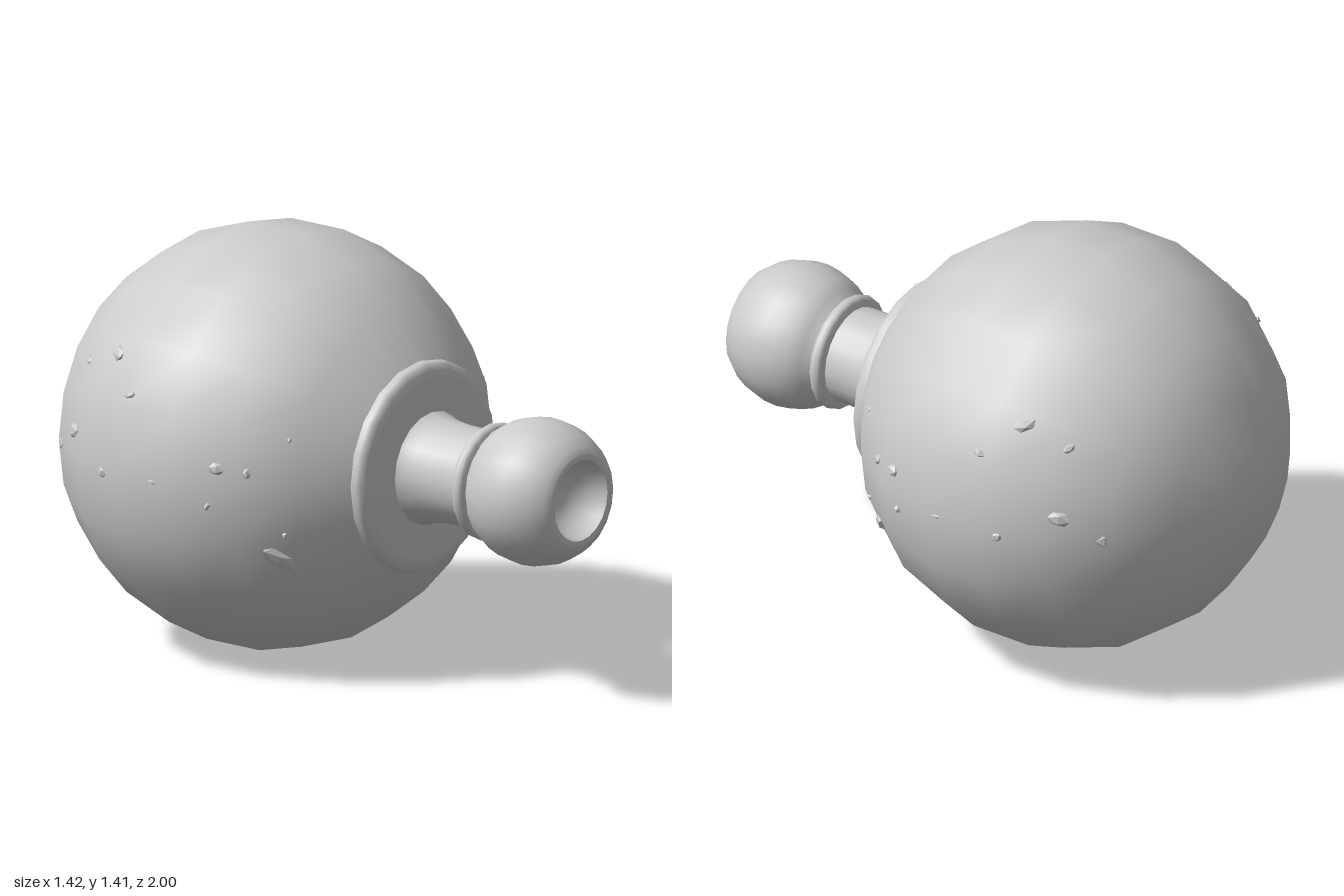
import * as THREE from 'three';

const material = new THREE.MeshStandardMaterial({ color: 0xcccccc, side: THREE.DoubleSide });
const chipMaterial = new THREE.MeshStandardMaterial({ color: 0xcccccc, flatShading: true });
const AXIS_Y = 0.705, BALL_Z = -0.297, BALL_R = 0.712;

// Turned part: profile of [z, radius] pairs from back to front, lying along z
function turned(name, profile) {
  const points = profile.map(([z, r]) => new THREE.Vector2(r, z));
  const mesh = new THREE.Mesh(new THREE.LatheGeometry(points, 20).rotateX(Math.PI / 2), material);
  mesh.name = name;
  mesh.position.y = AXIS_Y;
  return mesh;
}

// Profile points on a circular arc, angles in degrees from the equator
function arc(z, radius, from, to, steps) {
  return Array.from({ length: steps + 1 }, (_, i) => {
    const a = THREE.MathUtils.degToRad(from + (to - from) * i / steps);
    return [z + radius * Math.sin(a), radius * Math.cos(a)];
  });
}

// Flat stone chip set into the surface of the large ball
function chip(side, [z, y, length, width, roll]) {
  const dz = z - BALL_Z, dy = y - AXIS_Y;
  const normal = new THREE.Vector3(side * Math.sqrt(0.49 - dz * dz - dy * dy), dy, dz).normalize();
  const mesh = new THREE.Mesh(new THREE.IcosahedronGeometry(1, 0), chipMaterial);
  mesh.name = 'surfaceChip';
  mesh.scale.set(length / 2, width / 2, 0.016);
  mesh.position.set(0, AXIS_Y, BALL_Z).addScaledVector(normal, 0.698);
  mesh.lookAt(mesh.position.clone().add(normal));
  mesh.rotateZ(side * roll);
  return mesh;
}

export function createModel() {
  const model = new THREE.Group();
  model.name = 'ballWithFinial';

  // Large ball, its front ring hidden in the collar
  model.add(turned('largeBall', [[-1, 0], ...arc(BALL_Z, BALL_R, -81, 63, 8)]));

  // Rounded collar and its front face
  model.add(turned('collar', [
    [0.25, 0.32], [0.285, 0.337], [0.295, 0.351], [0.31, 0.355], [0.335, 0.355],
    [0.35, 0.348], [0.358, 0.33], [0.363, 0.31],
  ]));
  model.add(turned('collarFace', [[0.363, 0.31], [0.368, 0.17]]));

  // Flared neck
  model.add(turned('neck', [
    [0.36, 0.195], [0.38, 0.183], [0.42, 0.173], [0.48, 0.166], [0.55, 0.163], [0.66, 0.162],
  ]));

  // Bead between neck and knob
  model.add(turned('neckBead', [
    [0.6, 0.16], [0.604, 0.185], [0.613, 0.194], [0.625, 0.197], [0.637, 0.194], [0.646, 0.185], [0.652, 0.16],
  ]));

  // Knob, its rim and the hollow in its end
  model.add(turned('knob', [[0.63, 0.165], [0.66, 0.172], ...arc(0.82, 0.247, -36, 43, 7), [1, 0.155]]));
  model.add(turned('knobRim', [[1, 0.155], [1, 0.137]]));
  model.add(turned('knobHollow', [
    [1, 0.137], [0.975, 0.128], [0.94, 0.112], [0.91, 0.085], [0.893, 0.05], [0.888, 0],
  ]));

  // Chips mirrored on both flanks: z, y, length, width, roll
  const chips = [
    [0.13, 0.46, 0.15, 0.06, 0.6], [-0.02, 0.77, 0.06, 0.045, 0.2], [0.07, 0.76, 0.03, 0.04, 0],
    [0.17, 0.87, 0.02, 0.025, 0.3], [0.16, 0.55, 0.02, 0.025, 0.4], [-0.05, 0.64, 0.02, 0.03, 0.5],
    [-0.24, 0.7, 0.04, 0.02, 0.2], [-0.47, 0.69, 0.04, 0.04, 0.7], [-0.38, 0.96, 0.05, 0.03, -0.3],
    [-0.5, 1.07, 0.09, 0.05, 0.5], [-0.65, 1.01, 0.05, 0.03, 0.6], [-0.66, 0.78, 0.09, 0.055, -0.2],
    [-0.78, 0.7, 0.065, 0.06, 0],
  ];
  for (const side of [-1, 1]) {
    const group = new THREE.Group();
    group.name = side > 0 ? 'leftChips' : 'rightChips';
    for (const c of chips) group.add(chip(side, c));
    model.add(group);
  }
  return model;
}
